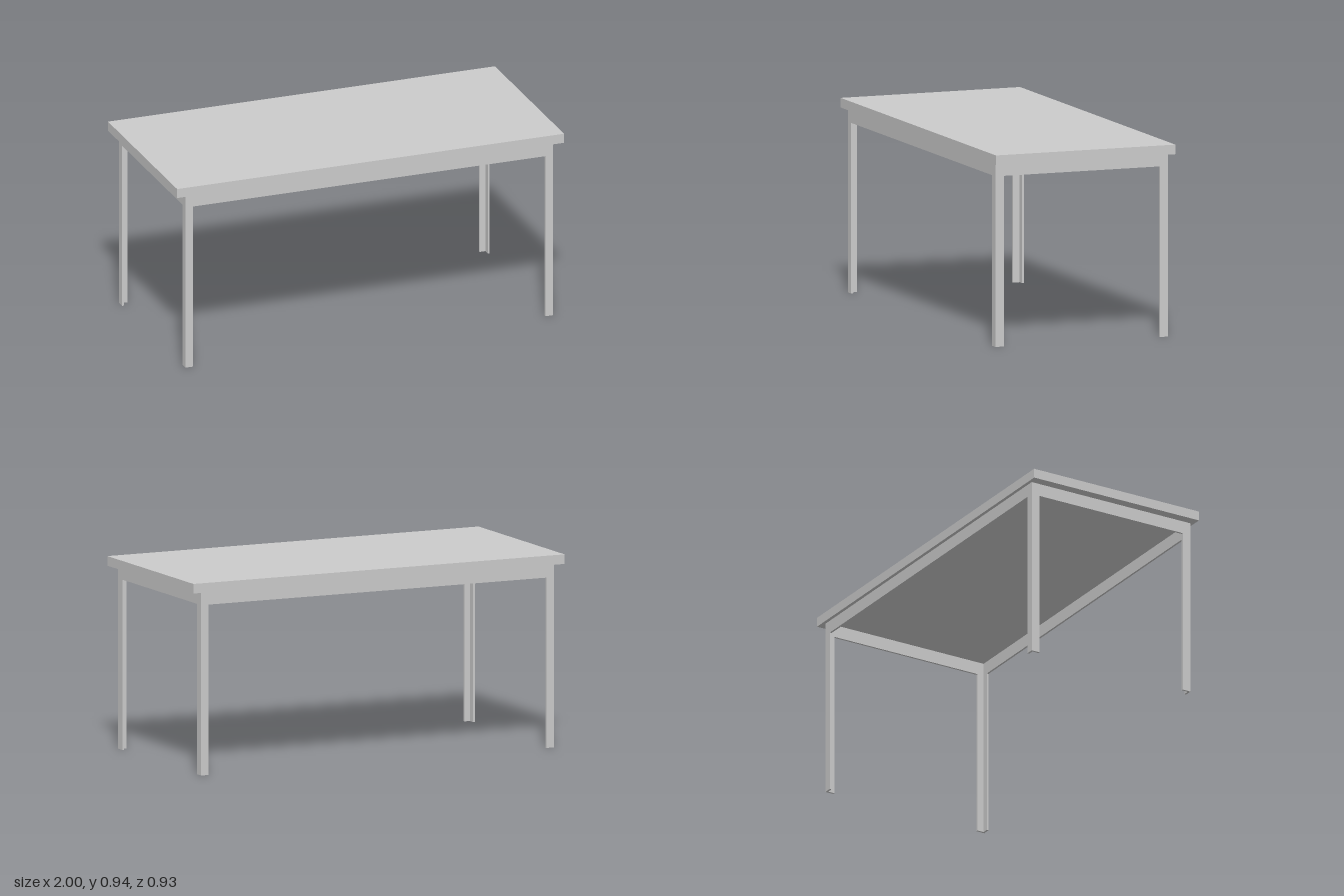
import * as THREE from 'three';

const TOP = 0.943, UNDER = 0.896, RAIL = 0.833; // heights of top, its underside, rail bottom
const X = 0.95, Z = 0.45;                       // outer faces of the frame
const FX = 0.04, FZ = 0.044, T = 0.01;          // leg flange widths and sheet thickness

export function createModel() {
  const group = new THREE.Group();
  const material = new THREE.MeshStandardMaterial({ color: 0xcccccc });
  const add = (name, geometry, x, y, z) => {
    const mesh = new THREE.Mesh(geometry, material);
    mesh.name = name;
    mesh.position.set(x, y, z);
    group.add(mesh);
  };

  // Solid table top
  add('tableTop', new THREE.BoxGeometry(2, TOP - UNDER, 0.934), 0, (TOP + UNDER) / 2, 0);

  // Thin rails flush with the outer leg faces, running between the legs
  const h = UNDER - RAIL, railY = (UNDER + RAIL) / 2;
  for (const s of [1, -1]) {
    add(s > 0 ? 'frontRail' : 'backRail',
      new THREE.BoxGeometry(2 * (X - FX), h, T), 0, railY, s * (Z - T / 2));
    add(s > 0 ? 'leftRail' : 'rightRail',
      new THREE.BoxGeometry(T, h, 2 * (Z - FZ)), s * (X - T / 2), railY, 0);
  }

  // Angle-section legs, the corner of the L facing outwards
  for (const sx of [1, -1]) for (const sz of [1, -1]) {
    const points = [[0, 0], [FX, 0], [FX, T], [T, T], [T, FZ], [0, FZ]]
      .map(([a, b]) => new THREE.Vector2(sx * (X - a), -sz * (Z - b)));
    const leg = new THREE.ExtrudeGeometry(new THREE.Shape(points), { depth: UNDER, bevelEnabled: false });
    leg.rotateX(-Math.PI / 2);
    add((sz > 0 ? 'front' : 'back') + (sx > 0 ? 'Left' : 'Right') + 'Leg', leg, 0, 0, 0);
  }
  return group;
}
